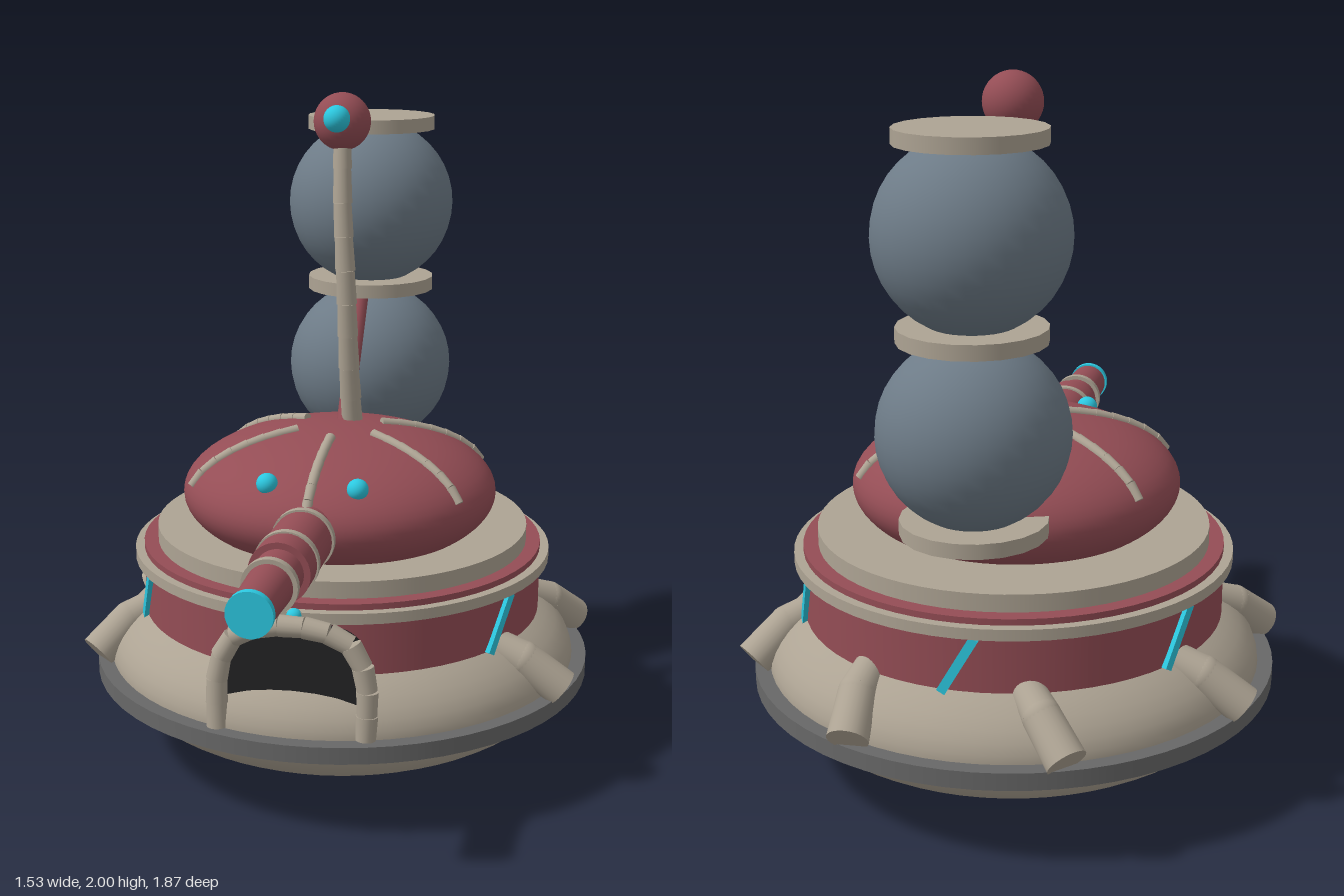
import * as THREE from 'three';

const mat = (color) => new THREE.MeshStandardMaterial({ color });
const RED = mat(0x944d55), BEIGE = mat(0xada393), BLUE = mat(0x6d7b87);
const CYAN = mat(0x2cc8e0), RIM = mat(0x686868), BLACK = mat(0x222224);
const V = (x, y, z) => new THREE.Vector3(x, y, z);
const UP = V(0, 1, 0);
const CZ = -0.17;                       // hull centre along z
const DOME = { y: 0.82, z: -0.135, r: 0.475, h: 0.2 };

export function createModel() {
  const root = new THREE.Group();

  function add(parent, name, geometry, material, x = 0, y = 0, z = 0) {
    const mesh = new THREE.Mesh(geometry, material);
    mesh.name = name;
    mesh.position.set(x, y, z);
    parent.add(mesh);
    return mesh;
  }
  const group = (name) => {
    const g = new THREE.Group();
    g.name = name;
    root.add(g);
    return g;
  };
  const ball = (parent, name, r, material, x, y, z) =>
    add(parent, name, new THREE.SphereGeometry(r, 32, 20), material, x, y, z);
  const disc = (parent, name, r, y0, y1, material, z = CZ, sides = 64) =>
    add(parent, name, new THREE.CylinderGeometry(r, r, y1 - y0, sides), material, 0, (y0 + y1) / 2, z);

  // Tapered rod between two points
  function rod(parent, name, a, b, ra, rb, material, sides = 16) {
    const d = b.clone().sub(a);
    const mesh = add(parent, name, new THREE.CylinderGeometry(rb, ra, d.length(), sides), material);
    mesh.position.copy(a).lerp(b, 0.5);
    mesh.quaternion.setFromUnitVectors(UP, d.normalize());
    return mesh;
  }
  // Chain of short, slightly flared rods following a curve
  function segmented(parent, name, points, n, r0, r1, flare = 1.12) {
    const curve = new THREE.CatmullRomCurve3(points);
    for (let i = 0; i < n; i++) {
      const r = r0 + (r1 - r0) * (i / n);
      rod(parent, name, curve.getPointAt(i / n), curve.getPointAt((i + 1) / n), r * flare, r, BEIGE);
    }
  }

  // Hull: flattened saucer, rim and stacked bands
  const hull = group('hull');
  add(hull, 'saucer', new THREE.SphereGeometry(0.72, 64, 32), BEIGE, 0, 0.295, CZ).scale.y = 0.29 / 0.72;
  disc(hull, 'saucerRim', 0.763, 0.25, 0.3, RIM);
  disc(hull, 'redBand', 0.61, 0.4, 0.66, RED);
  disc(hull, 'trimRing', 0.637, 0.61, 0.642, BEIGE);
  disc(hull, 'deck', 0.567, 0.655, 0.71, BEIGE);

  // Slanted glowing strips on the red band; the front is left for the doorway
  const strips = group('lightStrips');
  for (const deg of [30, -30, -90, -150, 150]) {
    const a = THREE.MathUtils.degToRad(deg);
    const pivot = new THREE.Group();
    pivot.position.set(0.61 * Math.cos(a), 0.525, CZ + 0.61 * Math.sin(a));
    pivot.rotation.y = Math.PI / 2 - a;
    strips.add(pivot);
    add(pivot, 'lightStrip', new THREE.BoxGeometry(0.026, 0.185, 0.026), CYAN).rotation.z = -0.52;
  }

  // Skewed stubby feet, eight-fold spacing without the front pair
  const feet = group('feet');
  for (const deg of [22.5, -22.5, -67.5, -112.5, -157.5, 157.5]) {
    const at = (r, y, off) => {
      const a = THREE.MathUtils.degToRad(deg + off);
      return V(r * Math.cos(a), y, CZ + r * Math.sin(a));
    };
    const p = [at(0.56, 0.455, 6), at(0.665, 0.41, 2.5), at(0.765, 0.325, -1.5)];
    rod(feet, 'footUpper', p[0], p[1], 0.045, 0.053, BEIGE, 24);
    ball(feet, 'footKnee', 0.053, BEIGE, p[1].x, p[1].y, p[1].z);
    rod(feet, 'footLower', p[1], p[2], 0.053, 0.057, BEIGE, 24);
  }

  // Doorway with segmented arch
  const door = group('doorway');
  const s = new THREE.Shape();
  s.moveTo(-0.2, 0.32);
  s.lineTo(0.2, 0.32);
  s.lineTo(0.2, 0.48);
  s.quadraticCurveTo(0.19, 0.59, 0.08, 0.6);
  s.lineTo(-0.08, 0.6);
  s.quadraticCurveTo(-0.19, 0.59, -0.2, 0.48);
  add(door, 'doorOpening', new THREE.ExtrudeGeometry(s, { depth: 0.14, bevelEnabled: false }), BLACK, 0, 0, 0.345);
  segmented(door, 'doorArch', [
    V(-0.212, 0.3, 0.51), V(-0.212, 0.46, 0.5), V(-0.175, 0.56, 0.495), V(-0.09, 0.603, 0.495),
    V(0.09, 0.603, 0.495), V(0.175, 0.56, 0.495), V(0.212, 0.46, 0.5), V(0.212, 0.3, 0.51),
  ], 13, 0.029, 0.029, 1.08);
  ball(door, 'doorLamp', 0.022, CYAN, 0, 0.63, 0.465);

  // Turret dome with segmented ribs and two lamps
  const turret = group('turret');
  add(turret, 'dome', new THREE.SphereGeometry(DOME.r, 64, 32), RED, 0, DOME.y, DOME.z).scale.y = DOME.h / DOME.r;
  for (const deg of [90, 30, 150, -30, -150]) {
    const a = THREE.MathUtils.degToRad(deg), pts = [];
    for (let i = 0; i <= 6; i++) {
      const t = THREE.MathUtils.lerp(0.285, 1.34, i / 6);
      const r = DOME.r * Math.sin(t);
      pts.push(V(r * Math.cos(a), DOME.y + DOME.h * Math.cos(t), DOME.z + r * Math.sin(a)));
    }
    segmented(turret, 'domeRib', pts, 7, 0.014, 0.014);
  }
  for (const x of [-0.132, 0.132]) ball(turret, 'domeLamp', 0.031, CYAN, x, 0.935, 0.24);

  // Cannon pointing forward
  const cannon = group('cannon');
  const barrel = (name, z0, z1, r0, r1, material) =>
    rod(cannon, name, V(0, 0.815, z0), V(0, 0.815, z1), r0, r1, material, 32);
  barrel('barrelBase', 0.2, 0.63, 0.083, 0.086, RED);
  barrel('barrelFront', 0.6, 0.92, 0.069, 0.058, RED);
  barrel('barrelTip', 0.915, 0.935, 0.063, 0.063, CYAN);
  for (const [z, r] of [[0.35, 0.09], [0.54, 0.09], [0.725, 0.077]])
    barrel('barrelRing', z - 0.011, z + 0.011, r, r, BEIGE);

  // Rear tower of stacked globes and plates
  const tower = group('tower');
  for (const y of [1.105, 1.628]) ball(tower, 'globe', 0.259, BLUE, 0, y, -0.603);
  for (const y of [0.85, 1.373, 1.88]) disc(tower, 'plate', 0.2, y - 0.021, y + 0.021, BEIGE, -0.605, 20);
  rod(tower, 'strut', V(0, 0.97, -0.18), V(0, 1.375, -0.455), 0.025, 0.025, RED);

  // Eye stalk
  const eye = group('eyeStalk');
  segmented(eye, 'stalk', [
    V(0.022, 0.99, -0.215), V(0.018, 1.2, -0.178), V(0.012, 1.45, -0.16),
    V(0, 1.66, -0.17), V(-0.008, 1.88, -0.2),
  ], 9, 0.03, 0.025);
  ball(eye, 'eyeball', 0.084, RED, -0.01, 1.916, -0.208);
  ball(eye, 'pupil', 0.039, CYAN, -0.01, 1.93, -0.132);

  return root;
}
